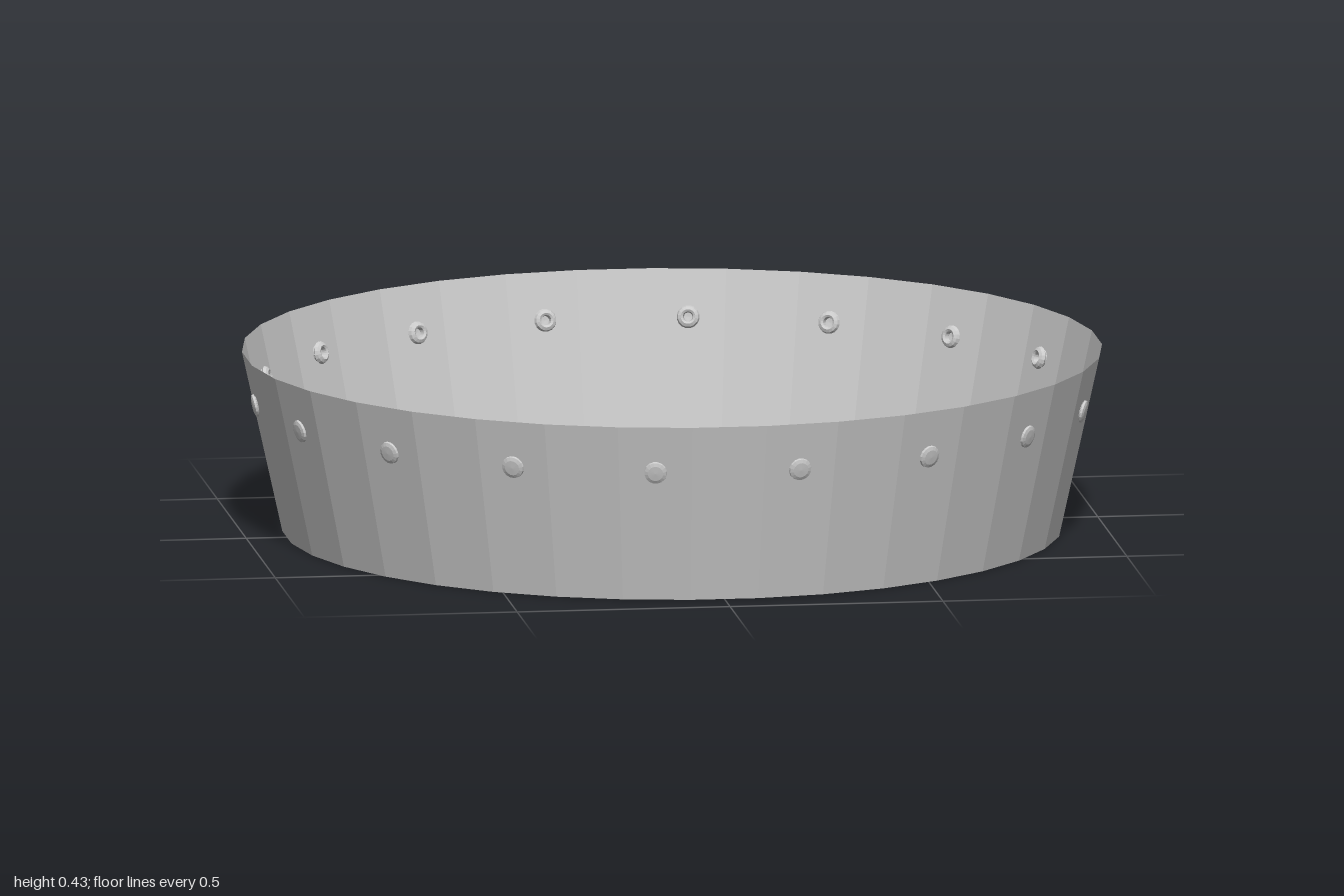
import * as THREE from 'three';

const SIDES = 36, RIVETS = 18;
const R_BOTTOM = 0.908, R_TOP = 1.002, HEIGHT = 0.425, RIVET_Y = 0.315;

export function createModel() {
  const group = new THREE.Group();
  group.name = 'studdedBand';
  const material = new THREE.MeshStandardMaterial({ color: 0xcccccc, flatShading: true, side: THREE.DoubleSide });

  // Thin flared band, open at top and bottom, with a flat facet behind each rivet
  const wall = new THREE.CylinderGeometry(R_TOP, R_BOTTOM, HEIGHT, SIDES, 1, true, Math.PI / SIDES);
  wall.translate(0, HEIGHT / 2, 0);
  const band = new THREE.Mesh(wall, material);
  band.name = 'band';
  group.add(band);

  // Rivet: hollow eyelet on the inside, low domed head on the outside (+y is outward)
  const profile = [
    [0, -0.004], [0.010, -0.005], [0.012, -0.016], [0.017, -0.019], [0.024, -0.015], [0.027, -0.008],
    [0.021, -0.003], [0.021, 0.001], [0.027, 0.003], [0.026, 0.008], [0.018, 0.011], [0, 0.012],
  ].map(([r, y]) => new THREE.Vector2(r, y));
  const rivetGeometry = new THREE.LatheGeometry(profile, 16);

  // Rivets spaced evenly round the band, each square to the sloping wall
  const slope = Math.atan2(R_TOP - R_BOTTOM, HEIGHT);
  const radius = (R_BOTTOM + (R_TOP - R_BOTTOM) * RIVET_Y / HEIGHT) * Math.cos(Math.PI / SIDES);
  const up = new THREE.Vector3(0, 1, 0);
  for (let i = 0; i < RIVETS; i++) {
    const a = (i + 0.5) / RIVETS * Math.PI * 2;
    const rivet = new THREE.Mesh(rivetGeometry, material);
    rivet.name = `rivet${i + 1}`;
    rivet.position.set(Math.sin(a) * radius, RIVET_Y, Math.cos(a) * radius);
    const normal = new THREE.Vector3(Math.sin(a) * Math.cos(slope), -Math.sin(slope), Math.cos(a) * Math.cos(slope));
    rivet.quaternion.setFromUnitVectors(up, normal);
    group.add(rivet);
  }
  return group;
}
